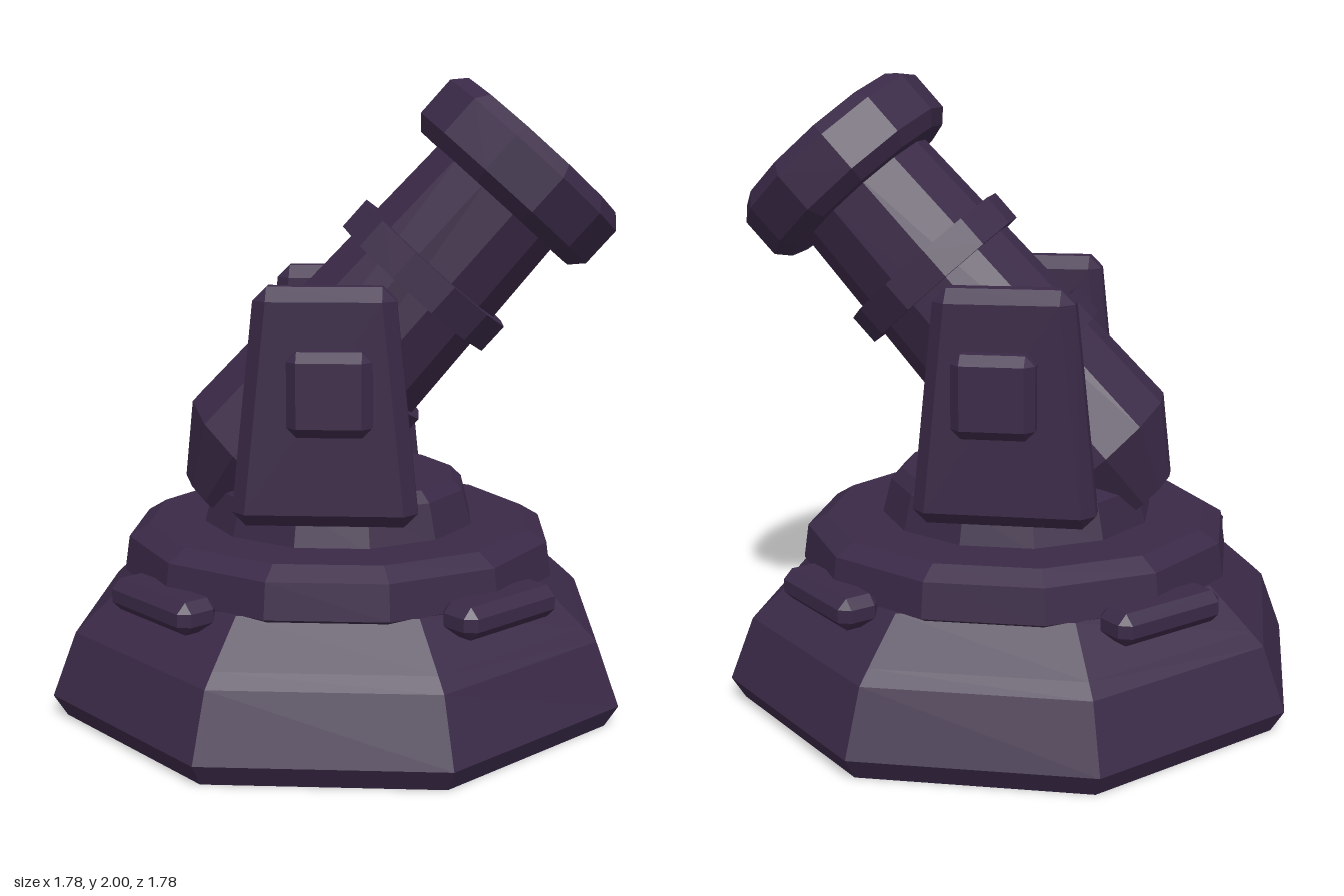
import * as THREE from 'three';
import { ConvexGeometry } from 'three/addons/geometries/ConvexGeometry.js';

const material = new THREE.MeshStandardMaterial({ color: 0x3a2947, flatShading: true });

function add(parent, name, geometry, x = 0, y = 0, z = 0) {
  const mesh = new THREE.Mesh(geometry, material);
  mesh.name = name;
  mesh.position.set(x, y, z);
  parent.add(mesh);
  return mesh;
}

// Faceted solid of revolution, flats on the axes; profile is [flat distance, height] from bottom to top
function prism(sides, profile) {
  const k = 1 / Math.cos(Math.PI / sides);
  const points = [[0, profile[0][1]], ...profile, [0, profile[profile.length - 1][1]]];
  return new THREE.LatheGeometry(points.map(([r, y]) => new THREE.Vector2(r * k, y)), sides, Math.PI / sides);
}

// Box of half sizes w, h, d with chamfered edges; the top half width may differ
function chamferBox(w, h, d, c, topW = w) {
  const points = [];
  for (const sx of [-1, 1]) for (const sy of [-1, 1]) for (const sz of [-1, 1]) {
    const hw = sy > 0 ? topW : w;
    points.push(
      new THREE.Vector3(sx * hw, sy * (h - c), sz * (d - c)),
      new THREE.Vector3(sx * (hw - c), sy * h, sz * (d - c)),
      new THREE.Vector3(sx * (hw - c), sy * (h - c), sz * d));
  }
  return new ConvexGeometry(points);
}

export function createModel() {
  const model = new THREE.Group();
  model.name = 'mortar';

  // Stepped base
  add(model, 'base', prism(8, [[0.85, 0], [0.89, 0.07], [0.82, 0.27], [0.78, 0.31], [0.65, 0.435]]));
  add(model, 'turntableRing', prism(12, [[0.66, 0.42], [0.687, 0.435], [0.672, 0.545], [0.61, 0.583]]));
  add(model, 'turntableTop', prism(12, [[0.436, 0.57], [0.405, 0.695], [0.37, 0.73]]));

  // Lugs on the four diagonal sides
  for (let i = 0; i < 4; i++) {
    const a = Math.PI / 4 + i * Math.PI / 2;
    const lug = add(model, 'baseLug', chamferBox(0.2, 0.05, 0.07, 0.03),
      0.72 * Math.sin(a), 0.425, 0.72 * Math.cos(a));
    lug.rotation.y = a;
  }

  // Side brackets with pivot blocks
  for (const side of [-1, 1]) {
    add(model, 'sideBracket', chamferBox(0.283, 0.365, 0.072, 0.042, 0.215), -0.022, 1.017, side * 0.403);
    add(model, 'pivotBlock', chamferBox(0.127, 0.128, 0.08, 0.03), -0.003, 1.07, side * 0.467);
  }

  // Tilted barrel, with the muzzle face at the group's origin
  const barrel = new THREE.Group();
  barrel.name = 'barrel';
  barrel.position.set(0.64, 1.795, 0);
  barrel.rotation.z = -THREE.MathUtils.degToRad(41.7);
  model.add(barrel);
  add(barrel, 'barrelTube', prism(12, [[0.14, -1.565], [0.285, -1.356], [0.24, -0.18]]));
  add(barrel, 'muzzle', prism(12, [[0.312, -0.22], [0.351, -0.178], [0.351, -0.042], [0.312, 0]]));
  for (const y of [-1.01, -0.605]) add(barrel, 'barrelBand', prism(12, [[0.298, y], [0.298, y + 0.105]]));

  return model;
}
